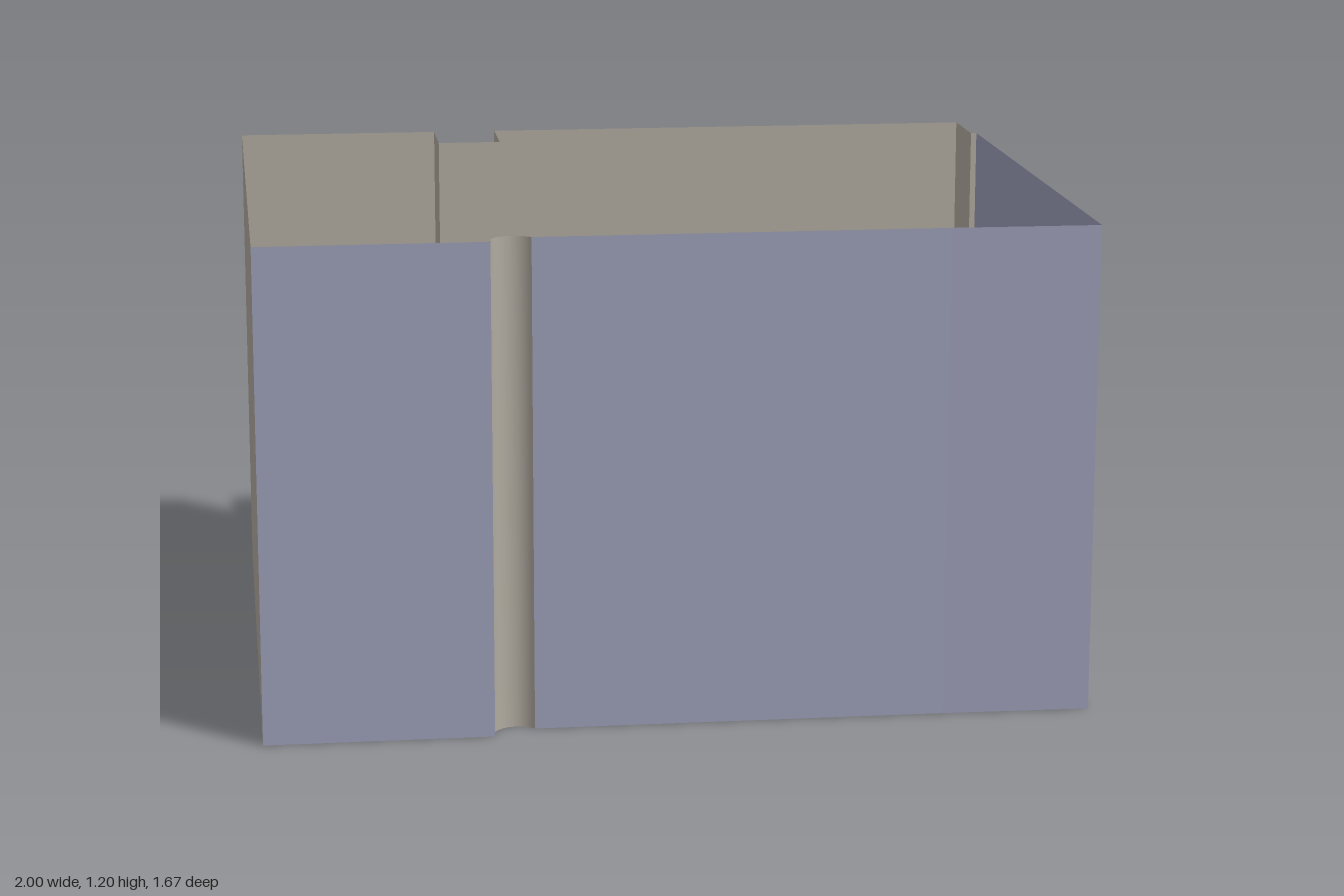
import * as THREE from 'three';

const HEIGHT = 1.195;

const mat = (name, color) => {
  const m = new THREE.MeshStandardMaterial({ color, side: THREE.DoubleSide });
  m.name = name;
  return m;
};

// Upright sheet following a plan path of [x, z] points
function wall(name, path, material, smooth = false) {
  const pos = [], index = [];
  path.forEach(([x, z], i) => {
    pos.push(x, 0, z, x, HEIGHT, z);
    if (i > 0) {
      const a = 2 * (i - 1);
      index.push(a, a + 2, a + 3, a, a + 3, a + 1);
    }
  });
  let geo = new THREE.BufferGeometry();
  geo.setAttribute('position', new THREE.Float32BufferAttribute(pos, 3));
  geo.setIndex(index);
  if (!smooth) geo = geo.toNonIndexed();
  geo.computeVertexNormals();
  const mesh = new THREE.Mesh(geo, material);
  mesh.name = name;
  return mesh;
}

export function createModel() {
  const blue = mat('blue wall paint', 0x9b9db6);
  const stone = mat('warm grey wall paint', 0xb0aa9f);
  const wood = mat('brown floor', 0xa89078);
  const room = new THREE.Group();
  room.name = 'room';

  // Rounded recess in the front wall
  const niche = [];
  for (let i = 0; i <= 20; i++) {
    const a = THREE.MathUtils.degToRad(168 + (152 * i) / 20);
    niche.push([-0.395 + 0.057 * Math.cos(a), 0.82 + 0.057 * Math.sin(a)]);
  }

  // Plan outline, running front, right, back, left
  const frontLeft = [-1, 0.835], frontRight = [1, 0.787];
  const rightEnd = [1, -0.637];
  const frontA = [frontLeft, niche[0]];
  const frontB = [niche[niche.length - 1], [0.64, 0.782], frontRight];
  const back = [
    rightEnd, [0.985, -0.637], [0.985, -0.835], [-0.31, -0.835], [-0.31, -0.637],
    [-0.475, -0.637], [-0.475, -0.835], [-1, -0.835],
  ];
  const left = [[-1, -0.835], frontLeft];

  room.add(
    wall('frontWallShort', frontA, blue),
    wall('frontNiche', niche, stone, true),
    wall('frontWallLong', frontB, blue),
    wall('backWall', back, stone),
    wall('sideWall', left, stone),
  );

  // Side wall with a doorway; shape x runs along -z
  const door = new THREE.Shape([
    [-0.787, 0], [-0.57, 0], [-0.57, 0.868], [-0.28, 0.868],
    [-0.28, 0], [0.637, 0], [0.637, HEIGHT], [-0.787, HEIGHT],
  ].map(([x, y]) => new THREE.Vector2(x, y)));
  const doorWall = new THREE.Mesh(new THREE.ShapeGeometry(door), blue);
  doorWall.name = 'doorWall';
  doorWall.rotation.y = Math.PI / 2;
  doorWall.position.x = 1;
  room.add(doorWall);

  // Floor fills the outline of all walls
  const plan = [...frontA, ...niche.slice(1), ...frontB.slice(1), ...back];
  const floorShape = new THREE.Shape(plan.map(([x, z]) => new THREE.Vector2(x, -z)));
  const floor = new THREE.Mesh(new THREE.ShapeGeometry(floorShape), wood);
  floor.name = 'floor';
  floor.rotation.x = -Math.PI / 2;
  room.add(floor);

  return room;
}
